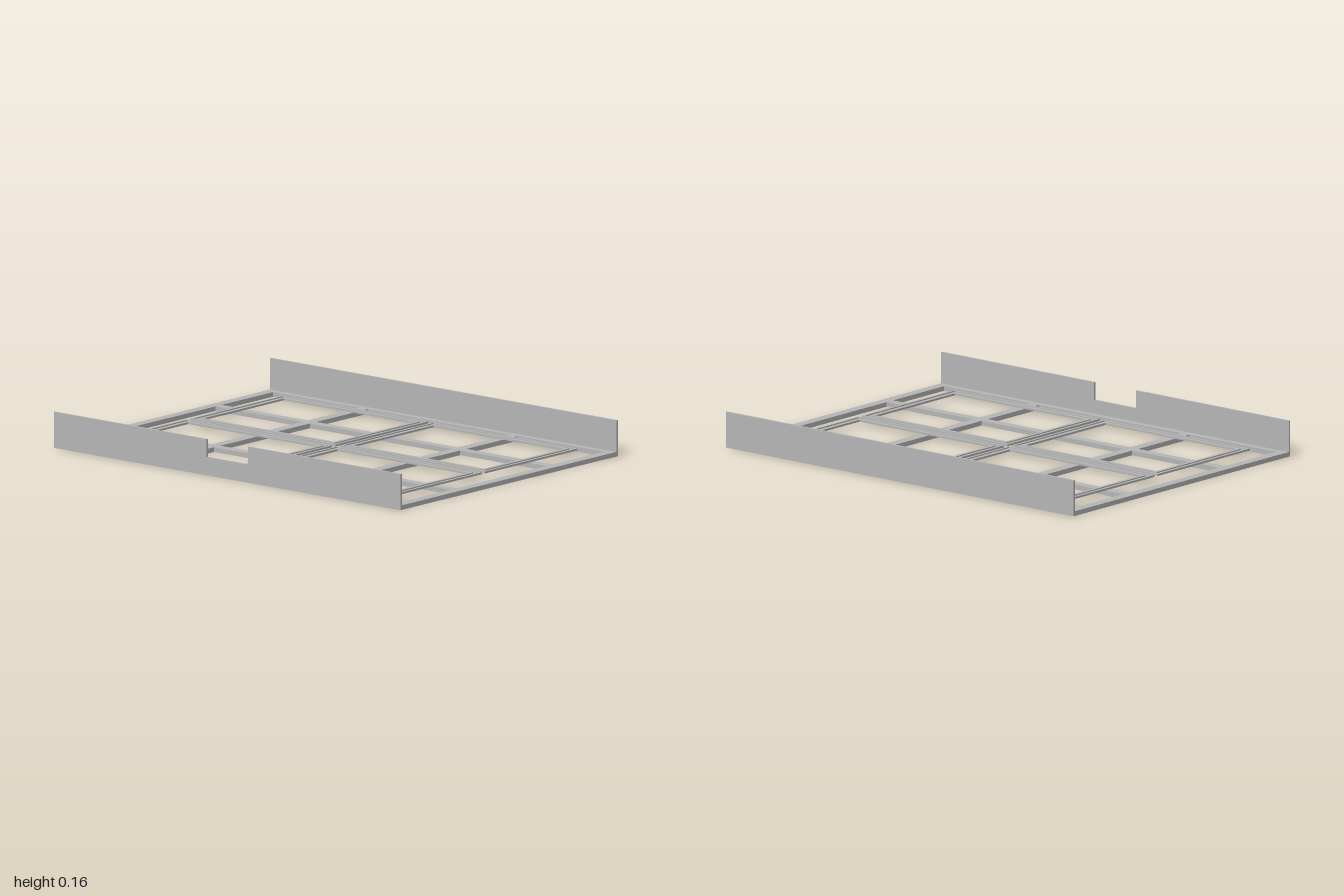
import * as THREE from 'three';

const metal = new THREE.MeshStandardMaterial({ color: 0xb8b8b8 });
metal.name = 'lightGreyMetal';

const W = 1, D = 0.738;          // half width and half depth
const WALL = 0.01, TUBE = 0.021; // wall thickness, base tube height

function bar(name, x0, x1, y0, y1, z0, z1) {
  const mesh = new THREE.Mesh(new THREE.BoxGeometry(x1 - x0, y1 - y0, z1 - z0), metal);
  mesh.name = name;
  mesh.position.set((x0 + x1) / 2, (y0 + y1) / 2, (z0 + z1) / 2);
  return mesh;
}

// Flat rectangular ring, lying in xz between heights y0 and y1
function ring(name, hx, hz, width, y0, y1) {
  const rect = (T, a, b) => new T([
    new THREE.Vector2(-a, -b), new THREE.Vector2(a, -b),
    new THREE.Vector2(a, b), new THREE.Vector2(-a, b)]);
  const shape = rect(THREE.Shape, hx, hz);
  shape.holes.push(rect(THREE.Path, hx - width, hz - width));
  const geo = new THREE.ExtrudeGeometry(shape, { depth: y1 - y0, bevelEnabled: false });
  geo.rotateX(-Math.PI / 2).translate(0, y0, 0);
  const mesh = new THREE.Mesh(geo, metal);
  mesh.name = name;
  return mesh;
}

// Upright sheet, with an optional notch in the middle of its top edge
function wall(name, z0, notched) {
  const h = 0.162;
  const pts = [[-W, 0], [W, 0], [W, h]];
  if (notched) pts.push([0.12, h], [0.12, 0.082], [-0.12, 0.082], [-0.12, h]);
  pts.push([-W, h]);
  const shape = new THREE.Shape(pts.map(([x, y]) => new THREE.Vector2(x, y)));
  const mesh = new THREE.Mesh(
    new THREE.ExtrudeGeometry(shape, { depth: WALL, bevelEnabled: false }), metal);
  mesh.name = name;
  mesh.position.z = z0;
  return mesh;
}

export function createModel() {
  const model = new THREE.Group();
  model.name = 'trayFrame';

  // Outer base rails
  const base = new THREE.Group();
  base.name = 'baseFrame';
  const zi = D - 0.043;
  for (const s of [-1, 1]) {
    const x = s * (W - 0.0225), z = s * (D - WALL + zi) / 2, hz = (D - WALL - zi) / 2;
    base.add(bar('sideRail', x - 0.0225, x + 0.0225, 0, TUBE, -zi, zi));
    base.add(bar('endRail', -W, W, 0, TUBE, z - hz, z + hz));

    // Cross bars
    const cx = s * 0.433, cz = s * 0.325;
    base.add(bar('lengthwiseBar', cx - 0.024, cx + 0.024, 0, TUBE, -zi, zi));
    for (const [a, b] of [[-0.955, -0.457], [-0.409, 0.409], [0.457, 0.955]])
      base.add(bar('crossBar', a, b, 0, TUBE, cz - 0.0215, cz + 0.0215));
  }
  model.add(base);

  // Front and back walls, the front one with its notch
  model.add(wall('frontWall', D - WALL, true), wall('backWall', -D, false));

  // Four grooved panel frames resting on the cross bars
  const hx = 0.419, hz = 0.314;
  for (const sx of [-1, 1]) for (const sz of [-1, 1]) {
    const panel = new THREE.Group();
    panel.name = 'panelFrame';
    panel.add(
      ring('panelBase', hx, hz, 0.043, TUBE, 0.025),
      ring('outerRim', hx, hz, 0.01, 0.025, 0.03),
      ring('innerRim', hx - 0.027, hz - 0.027, 0.016, 0.025, 0.03));
    panel.position.set(sx * 0.432, 0, sz * 0.325);
    model.add(panel);
  }
  return model;
}
